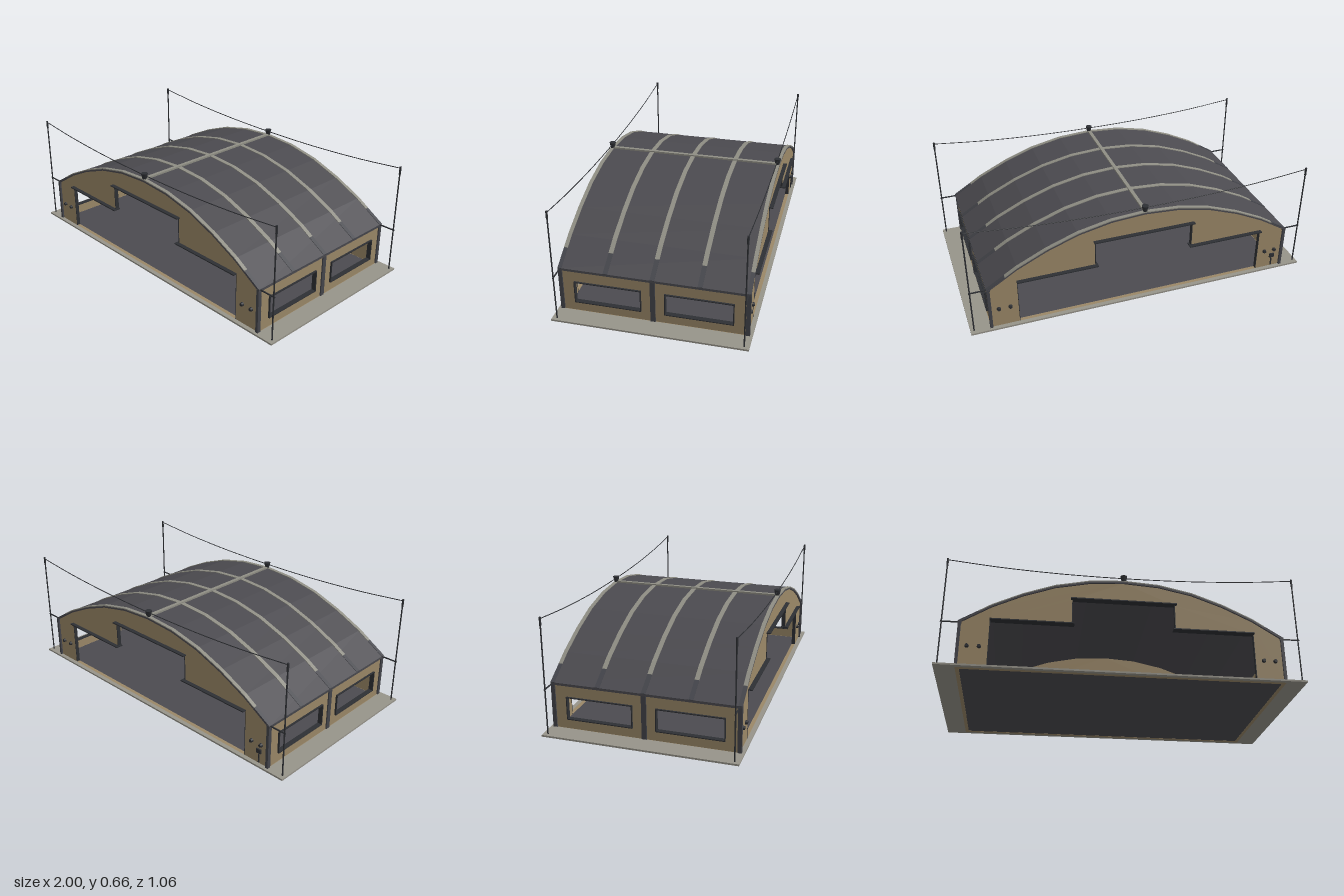
import * as THREE from 'three';

const mat = (name, color, double) => {
  const m = new THREE.MeshStandardMaterial({ color });
  m.name = name;
  if (double) m.side = THREE.DoubleSide;
  return m;
};

export function createModel() {
  const hangar = new THREE.Group();
  hangar.name = 'hangar';
  const tan = mat('tanPanel', 0x9b8868);
  const roofGrey = mat('roofGrey', 0x4c4b50);
  const dark = mat('darkMetal', 0x2e3034);
  const steel = mat('steelPost', 0x44454b);
  const concrete = mat('concrete', 0x97948a);
  const pale = mat('paleStrip', 0x8f8e84);

  const add = (name, geo, material, x = 0, y = 0, z = 0) => {
    const m = new THREE.Mesh(geo, material);
    m.name = name;
    m.position.set(x, y, z);
    hangar.add(m);
    return m;
  };
  const box = (name, material, w, h, d, x, y, z) =>
    add(name, new THREE.BoxGeometry(w, h, d), material, x, y, z);
  const rect = (C, x0, y0, x1, y1) => {
    const s = new C();
    s.moveTo(x0, y0); s.lineTo(x1, y0); s.lineTo(x1, y1); s.lineTo(x0, y1); s.closePath();
    return s;
  };
  const extrude = (shape, depth) =>
    new THREE.ExtrudeGeometry(shape, { depth, bevelEnabled: false, curveSegments: 8 });
  const ring = (w, d, w2, d2, h) => {
    const s = rect(THREE.Shape, -w, -d, w, d);
    s.holes.push(rect(THREE.Path, -w2, -d2, w2, d2));
    return extrude(s, h).rotateX(-Math.PI / 2);
  };
  const polygon = (pts) => new THREE.Shape(pts.map(([x, y]) => new THREE.Vector2(x, y)));

  // Ground slab, sill and inner floor
  add('apron', ring(1, 0.53, 0.888, 0.506, 0.01), concrete);
  add('sill', ring(0.888, 0.506, 0.868, 0.484, 0.009), tan);
  box('floor', roofGrey, 1.736, 0.008, 0.968, 0, 0.005, 0);

  // Faceted roof arch, from eave to eave
  const half = [[0.893, 0.266], [0.72, 0.374], [0.556, 0.453], [0.382, 0.517], [0.195, 0.557], [0, 0.57]];
  const mirrored = half.slice(0, -1).reverse().map(([x, y]) => [-x, y]);
  const arch = [...half, ...mirrored];
  const shift = (pts, dy) => pts.map(([x, y]) => [x, y + dy]);
  const archBand = (pts, low, high, depth) =>
    extrude(polygon([...shift(pts, high), ...shift(pts, low).reverse()]), depth);
  add('roof', archBand(arch, -0.012, 0, 1.03), roofGrey, 0, 0, -0.515);

  // Pale cross strips, ending in dark feet above the eaves
  const inner = [[0.79, 0.33], ...half.slice(1)];
  const stripArch = [...inner, ...inner.slice(0, -1).reverse().map(([x, y]) => [-x, y])];
  for (const z of [-0.505, -0.253, 0, 0.253, 0.505]) {
    const d = Math.abs(z) > 0.4 ? 0.021 : 0.025;
    add('roofStrip', archBand(stripArch, -0.002, 0.004, d), pale, 0, 0, z - d / 2);
    for (const s of [-1, 1]) {
      const foot = s > 0 ? [[0.893, 0.266], [0.79, 0.33]] : [[-0.79, 0.33], [-0.893, 0.266]];
      add('stripFoot', archBand(foot, -0.002, 0.003, d), steel, 0, 0, z - d / 2);
    }
  }
  box('ridgeBar', pale, 0.02, 0.01, 1.02, 0, 0.575, 0);

  // Gable ends with stepped door openings, rails, lamps, posts and cables
  const door = [[-0.725, 0.008], [-0.725, 0.283], [-0.285, 0.283], [-0.285, 0.438],
    [0.285, 0.438], [0.285, 0.283], [0.725, 0.283], [0.725, 0.008]];
  const gable = polygon([[0.885, 0.008], ...shift(arch, -0.008).map(([x, y]) => [x * 0.991, y]),
    [-0.885, 0.008], ...door]);
  for (const e of [-1, 1]) {
    add('gableWall', extrude(gable, 0.02), tan, 0, 0, e * 0.495 - 0.01);
    box('upperDoorRail', dark, 0.59, 0.006, 0.044, 0, 0.44, e * 0.506);
    add('ridgeBracket', new THREE.CylinderGeometry(0.02, 0.012, 0.034, 8), dark, 0, 0.59, e * 0.503);

    for (const s of [-1, 1]) {
      box('lowerDoorRail', dark, 0.455, 0.006, 0.044, s * 0.5, 0.284, e * 0.506);
      box('doorStepTrim', dark, 0.004, 0.155, 0.024, s * 0.285, 0.36, e * 0.496);
      box('doorJambTrim', dark, 0.003, 0.272, 0.022, s * 0.725, 0.146, e * 0.495);
      for (const x of [0.772, 0.836]) {
        add('wallLamp', new THREE.CylinderGeometry(0.009, 0.012, 0.014, 10).rotateX(e * Math.PI / 2),
          dark, s * x, 0.125, e * 0.511);
      }
      box('cornerPost', steel, 0.016, 0.262, 0.022, s * 0.884, 0.136, e * 0.505);

      // Cable mast with its tie bar and cap
      add('mast', new THREE.CylinderGeometry(0.004, 0.004, 0.645, 8), dark, s * 0.98, 0.3275, e * 0.503);
      add('mastCap', new THREE.CylinderGeometry(0.006, 0.006, 0.045, 8), dark, s * 0.98, 0.633, e * 0.503);
      box('mastTie', dark, 0.105, 0.006, 0.006, s * 0.935, 0.264, e * 0.503);
    }

    const cable = new THREE.CatmullRomCurve3([-0.98, -0.7, -0.4, -0.15, 0, 0.15, 0.4, 0.7, 0.98].map(
      (x) => new THREE.Vector3(x, 0.595 + 0.052 * Math.pow(Math.abs(x) / 0.98, 2.2), e * 0.503)));
    add('cable', new THREE.TubeGeometry(cable, 32, 0.0025, 5), dark);
  }

  // Small service box and conduit on the back gable
  box('serviceBox', dark, 0.03, 0.024, 0.01, -0.825, 0.085, -0.509);
  box('conduit', dark, 0.006, 0.05, 0.006, -0.825, 0.04, -0.508);

  // Side walls with two framed window openings each
  const wall = rect(THREE.Shape, -0.485, 0.008, 0.485, 0.258);
  const frame = (z0, z1) => {
    const f = rect(THREE.Shape, z0, 0.063, z1, 0.192);
    f.holes.push(rect(THREE.Path, z0 + 0.005, 0.068, z1 - 0.005, 0.187));
    return f;
  };
  const spans = [[-0.432, -0.063], [0.063, 0.432]];
  for (const [a, b] of spans) wall.holes.push(rect(THREE.Path, a + 0.002, 0.065, b - 0.002, 0.19));
  for (const s of [-1, 1]) {
    add('sideWall', extrude(wall, 0.015), tan, s * 0.8775 - 0.0075).rotation.y = Math.PI / 2;
    for (const [a, b] of spans) {
      add('windowFrame', extrude(frame(a, b), 0.027), dark, s * 0.8815 - 0.0135).rotation.y = Math.PI / 2;
    }
    box('middlePost', steel, 0.022, 0.254, 0.027, s * 0.881, 0.135, 0);
    box('eaveBeam', steel, 0.02, 0.012, 1.026, s * 0.883, 0.261, 0);
  }

  return hangar;
}
